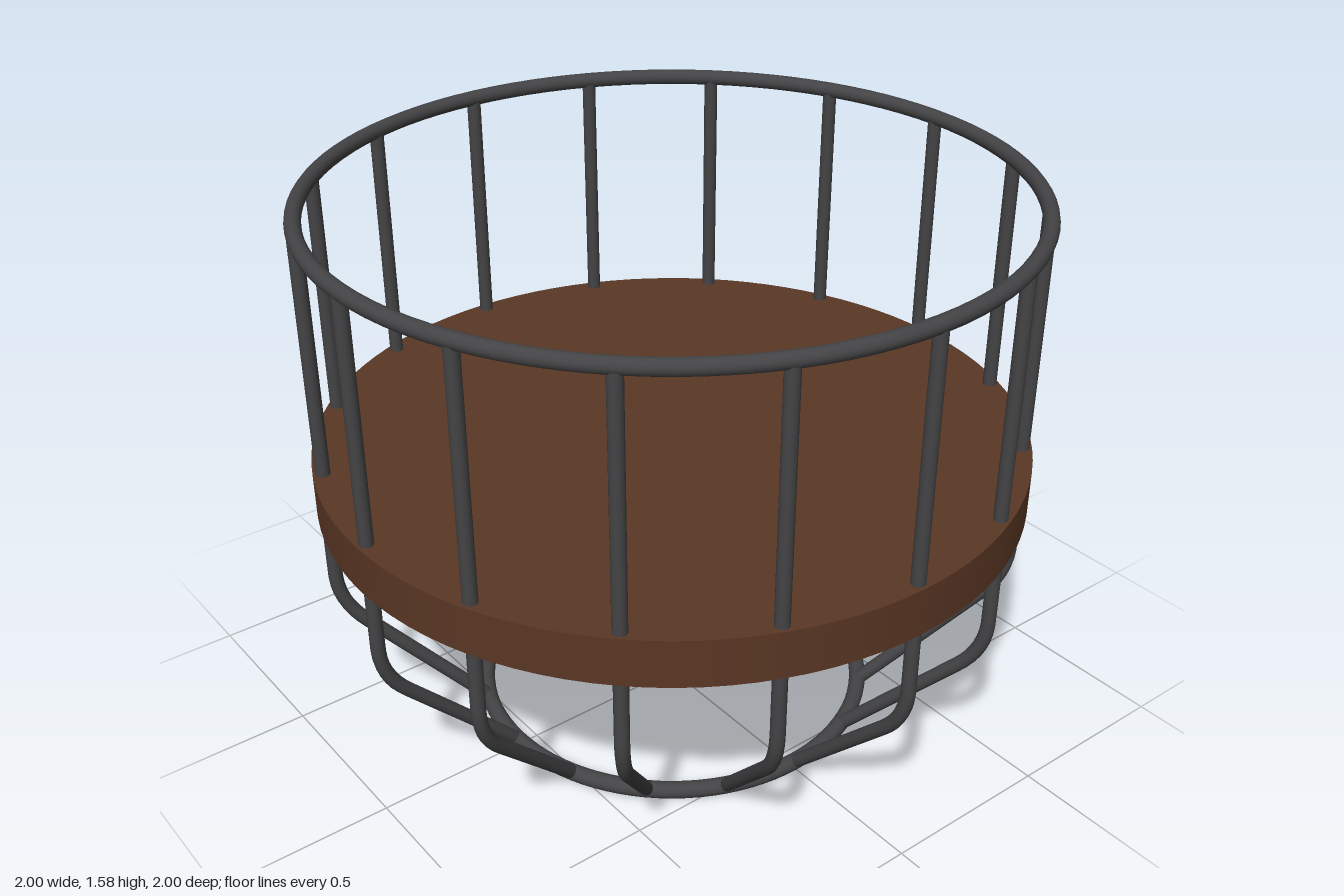
import * as THREE from 'three';

const ROD_COUNT = 16;
const RIM_RADIUS = 0.972;
const BASE_RADIUS = 0.566;
const TOP_Y = 1.563;
const BASE_Y = 0.024;

export function createModel() {
  const model = new THREE.Group();
  model.name = 'wireBasketTable';

  const metal = new THREE.MeshStandardMaterial({ color: 0x444446 });
  metal.name = 'dark grey metal';
  const wood = new THREE.MeshStandardMaterial({ color: 0x5a3724 });
  wood.name = 'brown wood';

  const add = (geometry, material, name, y = 0) => {
    const mesh = new THREE.Mesh(geometry, material);
    mesh.name = name;
    mesh.position.y = y;
    model.add(mesh);
    return mesh;
  };

  // Horizontal wire rings at the top and the base
  const ring = (radius, tube) =>
    new THREE.TorusGeometry(radius, tube, 14, 96).rotateX(Math.PI / 2);
  add(ring(RIM_RADIUS, 0.022), metal, 'topRing', TOP_Y);
  add(ring(BASE_RADIUS, 0.024), metal, 'baseRing', BASE_Y);

  // Round wooden shelf
  add(new THREE.CylinderGeometry(1, 1, 0.136, 96), wood, 'shelf', 0.797);

  // Upright rod: straight, then a soft bend inward to the base ring
  const point = (x, y) => new THREE.Vector3(x, y, 0);
  const path = new THREE.CurvePath();
  const bendStart = point(RIM_RADIUS, 0.54);
  const bendEnd = point(0.9, 0.37);
  path.add(new THREE.LineCurve3(point(RIM_RADIUS, TOP_Y), bendStart));
  path.add(new THREE.QuadraticBezierCurve3(bendStart, point(RIM_RADIUS, 0.445), bendEnd));
  path.add(new THREE.LineCurve3(bendEnd, point(BASE_RADIUS, BASE_Y)));
  const rodGeometry = new THREE.TubeGeometry(path, 64, 0.02, 12, false);

  for (let i = 0; i < ROD_COUNT; i++) {
    const rod = add(rodGeometry, metal, `rod${i + 1}`);
    rod.rotation.y = (i / ROD_COUNT) * Math.PI * 2;
  }

  return model;
}
